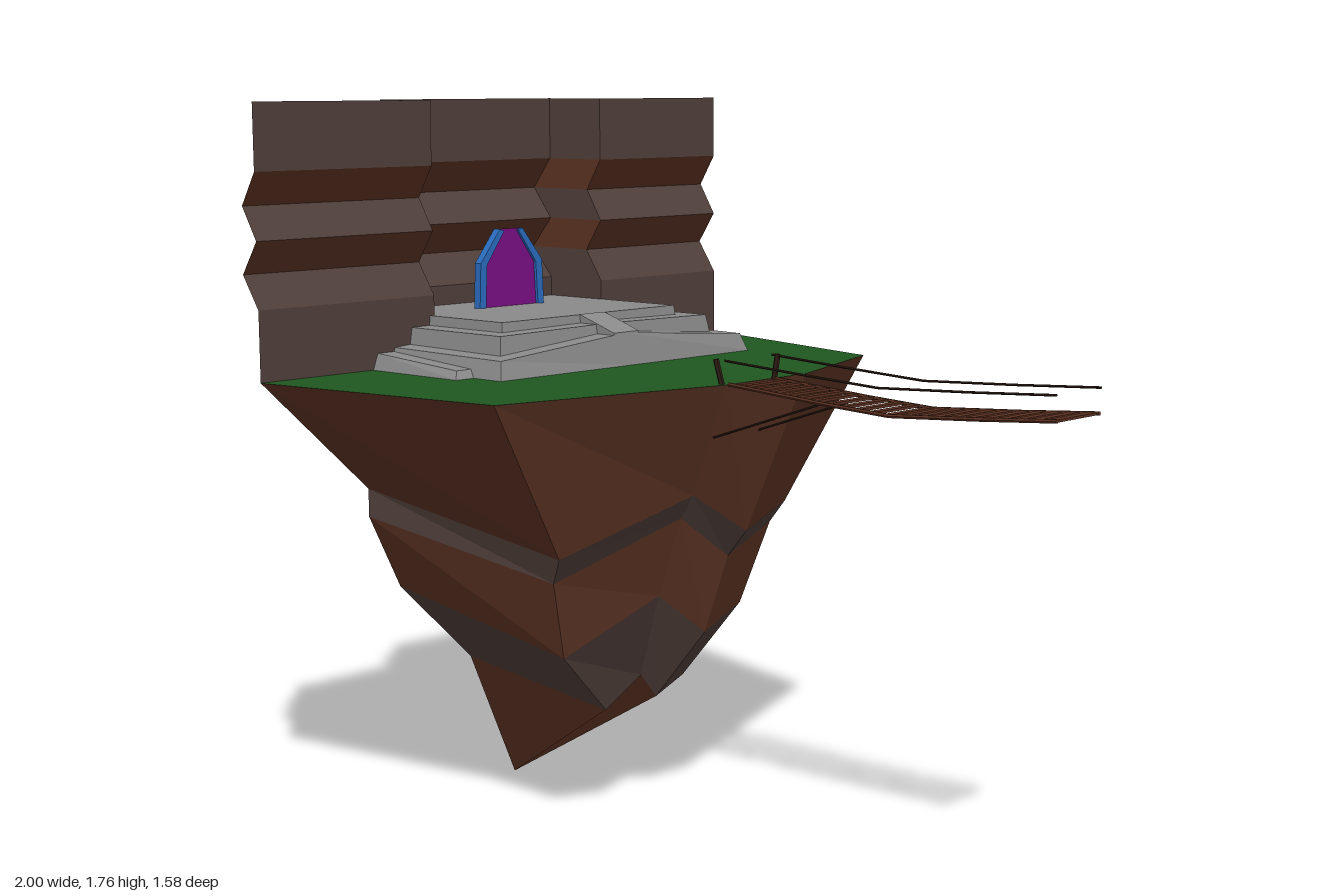
import * as THREE from 'three';

const mat = (color) => new THREE.MeshStandardMaterial({ color, flatShading: true, side: THREE.DoubleSide });
const MAT = {
  brown: mat(0x5e3424), rock: mat(0x51403b), grass: mat(0x1f561f), stone: mat(0x8a8a8a),
  glow: mat(0x7a0f86), frame: mat(0x2a6cc0), wood: mat(0x5a3020), rope: mat(0x2e1c14),
};

function add(parent, name, geometry, material) {
  const mesh = new THREE.Mesh(geometry, material);
  mesh.name = name;
  parent.add(mesh);
  return mesh;
}

function triangles(points) {
  const g = new THREE.BufferGeometry();
  g.setAttribute('position', new THREE.Float32BufferAttribute(points.flat(), 3));
  g.computeVertexNormals();
  return g;
}

// strip of quads between two polylines with the same number of points
function strip(upper, lower) {
  const out = [];
  for (let i = 0; i < upper.length - 1; i++) {
    out.push(upper[i], lower[i], lower[i + 1], upper[i], lower[i + 1], upper[i + 1]);
  }
  return out;
}

// fan that fills a loop of points
function fan(loop) {
  const out = [];
  for (let i = 1; i < loop.length - 1; i++) out.push(loop[0], loop[i], loop[i + 1]);
  return out;
}

// thin round bar from a to b
function bar(parent, name, a, b, radius, material) {
  const p = new THREE.Vector3(...a), q = new THREE.Vector3(...b);
  const dir = q.clone().sub(p);
  const mesh = add(parent, name, new THREE.CylinderGeometry(radius, radius, dir.length(), 6), material);
  mesh.position.copy(p).add(q).multiplyScalar(0.5);
  mesh.quaternion.setFromUnitVectors(new THREE.Vector3(0, 1, 0), dir.normalize());
}

// floating rock: rings run from the back at +z round the front to the back at -z
function makeIsland() {
  const g = new THREE.Group();
  g.name = 'island';
  const rings = [
    [[-0.74, 1.11, 0.79], [-0.05, 1.11, 0.69], [0.09, 1.11, 0.09], [0.09, 1.11, -0.2], [-0.05, 1.11, -0.6], [-0.74, 1.11, -0.79]],
    [[-0.74, 0.82, 0.475], [-0.13, 0.715, 0.42], [-0.04, 0.83, 0.06], [-0.03, 0.72, -0.12], [-0.11, 0.755, -0.36], [-0.74, 0.79, -0.475]],
    [[-0.74, 0.75, 0.475], [-0.17, 0.65, 0.4], [-0.08, 0.77, 0.06], [-0.09, 0.65, -0.12], [-0.16, 0.695, -0.36], [-0.74, 0.71, -0.475]],
    [[-0.74, 0.56, 0.38], [-0.2, 0.455, 0.34], [-0.15, 0.57, 0.065], [-0.14, 0.455, -0.09], [-0.2, 0.49, -0.29], [-0.74, 0.52, -0.38]],
    [[-0.74, 0.34, 0.15], [-0.26, 0.28, 0.14], [-0.26, 0.345, 0.015], [-0.26, 0.28, -0.04], [-0.28, 0.31, -0.16], [-0.74, 0.33, -0.16]],
    Array(6).fill([-0.74, 0, 0]),
  ];
  for (let i = 0; i < 5; i++) {
    add(g, 'rockLayer' + (i + 1), triangles(strip(rings[i], rings[i + 1])), i % 2 ? MAT.rock : MAT.brown);
  }
  add(g, 'grass', triangles(fan(rings[0])), MAT.grass);
  return g;
}

// zigzag cliff sheet with a recess in the middle
function makeCliff() {
  const g = new THREE.Group();
  g.name = 'cliff';
  const plan = [[-0.74, 0.79], [-0.74, 0.25], [-0.93, 0.25], [-0.93, -0.34], [-0.74, -0.34], [-0.74, -0.79]];
  const profile = [[1.76, 0], [1.6, 0], [1.52, 0.055], [1.44, 0], [1.36, 0.06], [1.28, 0], [1.11, 0]];
  const rows = profile.map(([y, back]) => plan.map(([x, z]) =>
    [x - back * (x < -0.9 ? 1.15 : 0.9), y, z]));
  for (let i = 0; i < rows.length - 1; i++) {
    add(g, 'cliffLayer' + (i + 1), triangles(strip(rows[i], rows[i + 1])), i === 1 || i === 3 ? MAT.brown : MAT.rock);
  }
  return g;
}

// stepped stone platform with sloping sides
function makePlatform() {
  const g = new THREE.Group();
  g.name = 'platform';
  const tier = (name, back, front, z0, z1, yBack, yCorner, yMid, inset) => {
    const mid = -0.045;
    const outline = (d, ys) => [[back, ys[0], z1 - d], [front - d, ys[1], z1 - d], [front - d, ys[2], mid],
      [front - d, ys[1], z0 + d], [back, ys[0], z0 + d]];
    const top = outline(inset, [yBack, yCorner, yMid]);
    const base = outline(0, [1.11, 1.11, 1.11]);
    const centre = [back, Math.max(yBack, yMid), mid];
    add(g, name, triangles([...strip(top, base), ...fan([centre, ...top])]), MAT.stone);
  };
  tier('sideApron', -0.74, -0.44, -0.54, 0.45, 1.15, 1.13, 1.13, 0.015);
  tier('lowerStep', -0.74, -0.345, -0.485, 0.395, 1.16, 1.155, 1.19, 0.015);
  tier('middleStep', -0.74, -0.405, -0.42, 0.34, 1.205, 1.205, 1.21, 0.016);
  tier('upperStep', -0.74, -0.463, -0.36, 0.28, 1.23, 1.23, 1.23, 0.016);
  // floor inside the cliff recess
  const floor = add(g, 'recessFloor', new THREE.BoxGeometry(0.19, 0.12, 0.59), MAT.stone);
  floor.position.set(-0.835, 1.17, -0.045);
  // central ramp over the steps
  const side = (z) => [[-0.48, 1.231, z], [-0.42, 1.212, z], [-0.36, 1.192, z], [-0.36, 1.15, z], [-0.48, 1.15, z]];
  const a = side(0.0), b = side(-0.088);
  add(g, 'centreRamp', triangles([...strip(a, b), ...fan(a), ...fan(b).reverse()]), MAT.stone);
  return g;
}

// glowing doorway with two bent side frames
function makePortal() {
  const g = new THREE.Group();
  g.name = 'portal';
  const shape = (pts) => new THREE.Shape(pts.map(([z, y]) => new THREE.Vector2(z, y)));
  const pane = add(g, 'portalPane', new THREE.ShapeGeometry(shape(
    [[-0.1, 1.23], [0.1, 1.23], [0.096, 1.34], [0.04, 1.43], [-0.04, 1.43], [-0.096, 1.34]])), MAT.glow);
  pane.rotation.y = Math.PI / 2;
  pane.position.set(-0.788, 0, -0.053);
  for (const s of [-1, 1]) {
    const pts = [[0.113, 1.23], [0.108, 1.345], [0.04, 1.43], [0.025, 1.425], [0.086, 1.34], [0.092, 1.23]];
    const frame = add(g, 'portalFrame', new THREE.ExtrudeGeometry(shape(pts.map(([z, y]) => [z * s, y])),
      { depth: 0.022, bevelEnabled: false }), MAT.frame);
    frame.rotation.y = Math.PI / 2;
    frame.position.set(-0.802, 0, -0.053);
  }
  return g;
}

// sagging rope bridge
function makeBridge() {
  const g = new THREE.Group();
  g.name = 'bridge';
  const deck = [[0.09, 1.11], [0.37, 1.09], [0.56, 1.08], [0.8, 1.095], [1, 1.11]];
  const hand = [[0.08, 1.165], [0.3, 1.152], [0.53, 1.14], [0.78, 1.152], [1, 1.165]];
  const deckY = (x) => {
    const i = Math.max(1, deck.findIndex((p) => p[0] >= x));
    const [x0, y0] = deck[i - 1], [x1, y1] = deck[i];
    return y0 + (y1 - y0) * (x - x0) / (x1 - x0);
  };
  for (const s of [-1, 1]) {
    const z = s * 0.08 - 0.003;
    for (let i = 0; i < 4; i++) {
      bar(g, 'deckRope', [...deck[i], z], [...deck[i + 1], z], 0.005, MAT.wood);
      bar(g, 'handRope', [...hand[i], z * 1.05], [...hand[i + 1], z * 1.05], 0.003, MAT.rope);
    }
    bar(g, 'braceRope', [0.04, 0.98, s * 0.075], [0.37, 1.09, z], 0.003, MAT.rope);
    const px = s > 0 ? 0.07 : 0.085;
    bar(g, 'post', [px + 0.005, 1.09, s * 0.08], [px - s * 0.01, 1.168, s * 0.09], 0.007, MAT.rope);
  }
  for (let i = 0; i < 21; i++) {
    const x = 0.125 + i * 0.043;
    const plank = add(g, 'plank', new THREE.BoxGeometry(0.02, 0.006, 0.16), MAT.wood);
    plank.position.set(x, deckY(x), -0.003);
  }
  return g;
}

export function createModel() {
  const model = new THREE.Group();
  model.name = 'floatingIsland';
  model.add(makeIsland(), makeCliff(), makePlatform(), makePortal(), makeBridge());
  return model;
}
